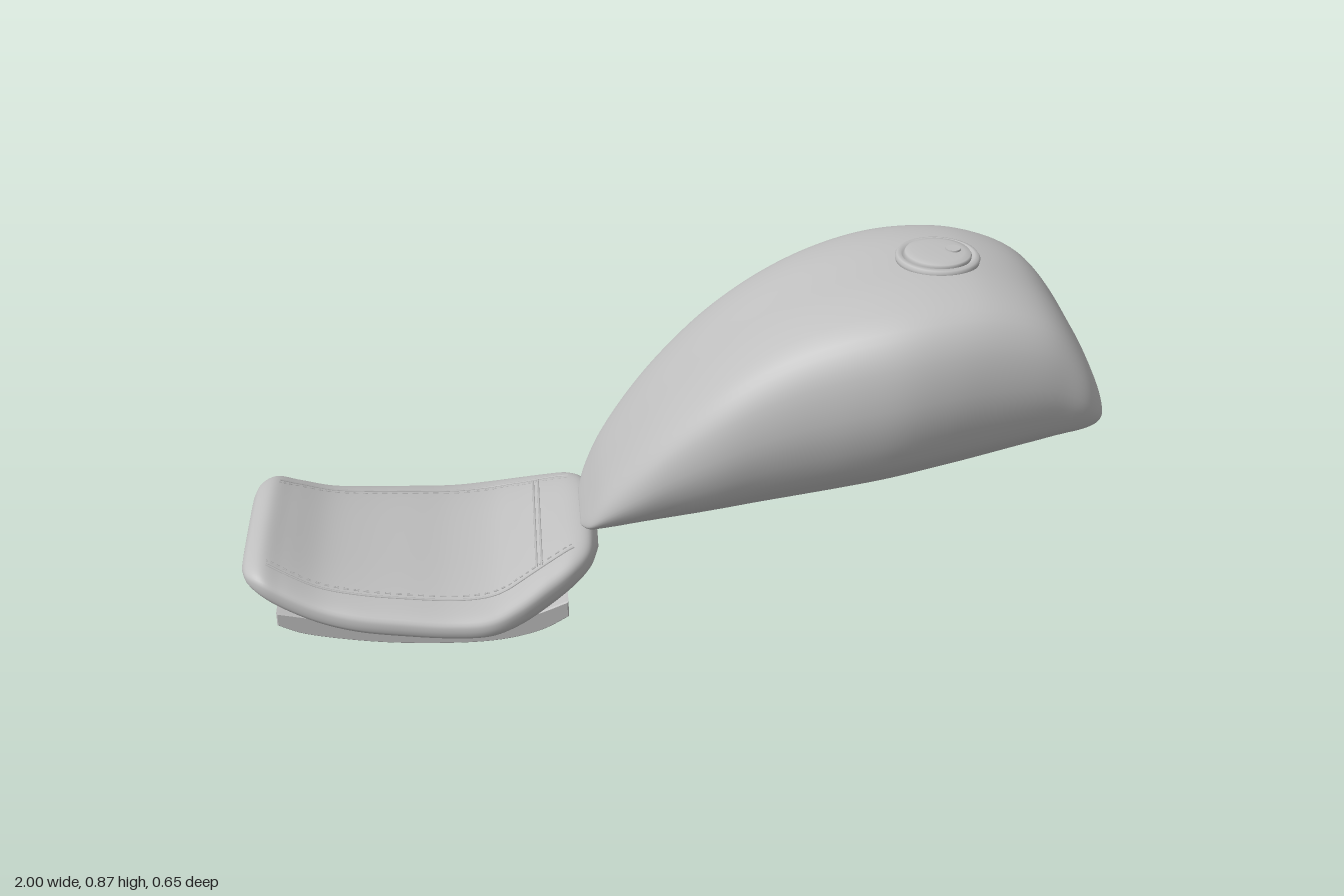
import * as THREE from 'three';

const grey = new THREE.MeshStandardMaterial({ color: 0xbfbfbf });
grey.name = 'plain grey';

// Smoothly samples rows of [x, bottom, top, halfWidth] at t in 0..1
function sampler(rows) {
  const curves = [1, 2, 3].map(k => new THREE.SplineCurve(rows.map(r => new THREE.Vector2(r[0], r[k]))));
  return t => {
    const p = curves.map(c => c.getPoint(t));
    return [p[0].x, p[0].y, p[1].y, p[2].y];
  };
}

// Skins a unit section (z in -1..1, y in 0..1) along x, with closed ends
function loft(sample, section, steps) {
  const pos = [], idx = [], n = section.length;
  for (let i = 0; i <= steps; i++) {
    const [x, b, t, w] = sample(i / steps);
    section.forEach(([z, y]) => pos.push(x, b + (t - b) * y, w * z));
  }
  for (let i = 0; i < steps; i++) {
    for (let j = 0; j < n; j++) {
      const k = (j + 1) % n, a = i * n, c = a + n;
      idx.push(a + j, c + j, c + k, a + j, c + k, a + k);
    }
  }
  for (const end of [0, 1]) {
    const [x, b, t] = sample(end), centre = pos.length / 3, ring = end * steps * n;
    pos.push(x, (b + t) / 2, 0);
    for (let j = 0; j < n; j++) {
      const p = ring + j, q = ring + (j + 1) % n;
      idx.push(centre, end ? q : p, end ? p : q);
    }
  }
  const g = new THREE.BufferGeometry();
  g.setAttribute('position', new THREE.Float32BufferAttribute(pos, 3));
  g.setIndex(idx);
  g.computeVertexNormals();
  return g;
}

function add(parent, name, geometry) {
  const m = new THREE.Mesh(geometry, grey);
  m.name = name;
  parent.add(m);
  return m;
}

function group(parent, name) {
  const g = new THREE.Group();
  g.name = name;
  parent.add(g);
  return g;
}

// Teardrop fuel tank
function buildTank(root) {
  const tank = group(root, 'fuelTank');
  const rows = [
    [-0.21, 0.207, 0.222, 0.08], [-0.19, 0.213, 0.27, 0.135], [-0.15, 0.222, 0.35, 0.175],
    [-0.08, 0.237, 0.452, 0.213], [0, 0.253, 0.548, 0.24], [0.1, 0.274, 0.645, 0.267],
    [0.2, 0.295, 0.72, 0.284], [0.3, 0.315, 0.775, 0.3], [0.4, 0.336, 0.812, 0.316],
    [0.5, 0.357, 0.835, 0.325], [0.6, 0.378, 0.845, 0.318], [0.7, 0.398, 0.84, 0.303],
    [0.8, 0.42, 0.81, 0.285], [0.87, 0.435, 0.763, 0.268], [0.93, 0.452, 0.685, 0.25],
    [0.97, 0.47, 0.605, 0.218], [0.99, 0.485, 0.55, 0.175], [1, 0.5, 0.52, 0.11],
  ];
  // Flat floor, bulging flanks and a broad rounded top
  const half = [[0.25, 0], [0.5, 0.01], [0.74, 0.13], [0.9, 0.26], [1, 0.52], [0.95, 0.77], [0.8, 0.92], [0.48, 0.99]];
  const outline = [[0, 0], ...half, [0, 1], ...half.map(([z, y]) => [-z, y]).reverse()];
  const curve = new THREE.CatmullRomCurve3(outline.map(([z, y]) => new THREE.Vector3(z, y, 0)), true);
  const section = Array.from({ length: 72 }, (_, i) => curve.getPoint(i / 72)).map(p => [p.x, p.y]);
  add(tank, 'tankShell', loft(sampler(rows), section, 90));

  // Filler cap: stepped flange, domed lid and lock
  const cap = group(tank, 'fillerCap');
  cap.position.set(0.62, 0.838, 0);
  const lathe = pts => new THREE.LatheGeometry(pts.map(p => new THREE.Vector2(...p)), 48);
  add(cap, 'capFlange', lathe([[0.09, -0.02], [0.096, 0.004], [0.097, 0.01], [0.093, 0.016], [0.084, 0.018], [0.08, 0.012], [0.074, 0.011]]));
  add(cap, 'capLid', lathe([[0.076, 0.006], [0.077, 0.017], [0.074, 0.022], [0.06, 0.025], [0.03, 0.027], [0, 0.027]]));
  add(cap, 'capLock', new THREE.CylinderGeometry(0.017, 0.018, 0.008, 24)).position.set(0.035, 0.026, 0);
}

// Padded seat on a curved pan
function buildSeat(root) {
  const seat = group(root, 'seat');
  const sample = sampler([
    [-1, 0.17, 0.195, 0.16], [-0.985, 0.153, 0.215, 0.205], [-0.95, 0.125, 0.225, 0.238],
    [-0.9, 0.095, 0.205, 0.254], [-0.82, 0.065, 0.172, 0.273], [-0.73, 0.047, 0.155, 0.291],
    [-0.62, 0.036, 0.144, 0.302], [-0.52, 0.031, 0.136, 0.31], [-0.43, 0.032, 0.142, 0.313],
    [-0.36, 0.043, 0.165, 0.291], [-0.29, 0.068, 0.195, 0.253], [-0.23, 0.1, 0.216, 0.215],
    [-0.19, 0.128, 0.214, 0.168], [-0.17, 0.15, 0.185, 0.1],
  ]);
  const power = 2.8, n = 64;
  const bend = v => Math.sign(v) * Math.abs(v) ** (2 / power);
  const section = Array.from({ length: n }, (_, i) => {
    const a = i / n * Math.PI * 2;
    return [bend(Math.cos(a)), 0.5 + 0.5 * bend(Math.sin(a))];
  });
  add(seat, 'cushion', loft(sample, section, 80));

  // Point on top of the cushion at a given x and z
  function onTop(x, z) {
    let lo = 0, hi = 1;
    for (let i = 0; i < 24; i++) {
      const mid = (lo + hi) / 2;
      if (sample(mid)[0] < x) lo = mid; else hi = mid;
    }
    const [, b, t, w] = sample(lo);
    const k = Math.max(0, 1 - Math.abs(z / w) ** power) ** (1 / power);
    return new THREE.Vector3(x, (b + t) / 2 + (t - b) / 2 * k, z);
  }
  const seam = (name, pts) =>
    add(seat, name, new THREE.TubeGeometry(new THREE.CatmullRomCurve3(pts), 64, 0.003, 6));

  // Seams along both sides, each with a row of stitches
  const edge = new THREE.SplineCurve([[-0.94, 0.185], [-0.85, 0.208], [-0.72, 0.226], [-0.57, 0.236], [-0.42, 0.238], [-0.33, 0.204], [-0.23, 0.16]]
    .map(p => new THREE.Vector2(...p)));
  for (const side of [1, -1]) {
    const name = side > 0 ? 'front' : 'back';
    seam(name + 'Seam', edge.getPoints(40).map(p => onTop(p.x, side * p.y)));
    const stitches = group(seat, name + 'Stitches');
    for (let i = 0; i < 36; i++) {
      const [a, b] = [i / 36, (i + 0.55) / 36].map(t => edge.getPoint(t)).map(p => onTop(p.x, side * (p.y - 0.013)));
      add(stitches, 'stitch', new THREE.TubeGeometry(new THREE.LineCurve3(a, b), 1, 0.0025, 5));
    }
  }
  // Double seam across the nose
  for (const x of [-0.318, -0.306]) {
    seam('crossSeam', Array.from({ length: 21 }, (_, i) => onTop(x, (i / 10 - 1) * 0.19)));
  }

  // Curved pan under the cushion
  const pan = new THREE.Shape();
  pan.moveTo(-0.92, 0.105);
  pan.lineTo(-0.92, 0.075);
  pan.splineThru([[-0.85, 0.045], [-0.7, 0.016], [-0.55, 0.003], [-0.42, 0.004], [-0.32, 0.025], [-0.25, 0.062]].map(p => new THREE.Vector2(...p)));
  pan.lineTo(-0.25, 0.1);
  pan.splineThru([[-0.36, 0.06], [-0.5, 0.045], [-0.7, 0.06], [-0.92, 0.105]].map(p => new THREE.Vector2(...p)));
  const panGeometry = new THREE.ExtrudeGeometry(pan, { depth: 0.464, bevelEnabled: true, bevelThickness: 0.003, bevelSize: 0.003, bevelSegments: 1, curveSegments: 24 });
  panGeometry.translate(0, 0, -0.232);
  add(seat, 'seatPan', panGeometry);
}

export function createModel() {
  const root = new THREE.Group();
  root.name = 'tankAndSeat';
  buildTank(root);
  buildSeat(root);
  return root;
}
